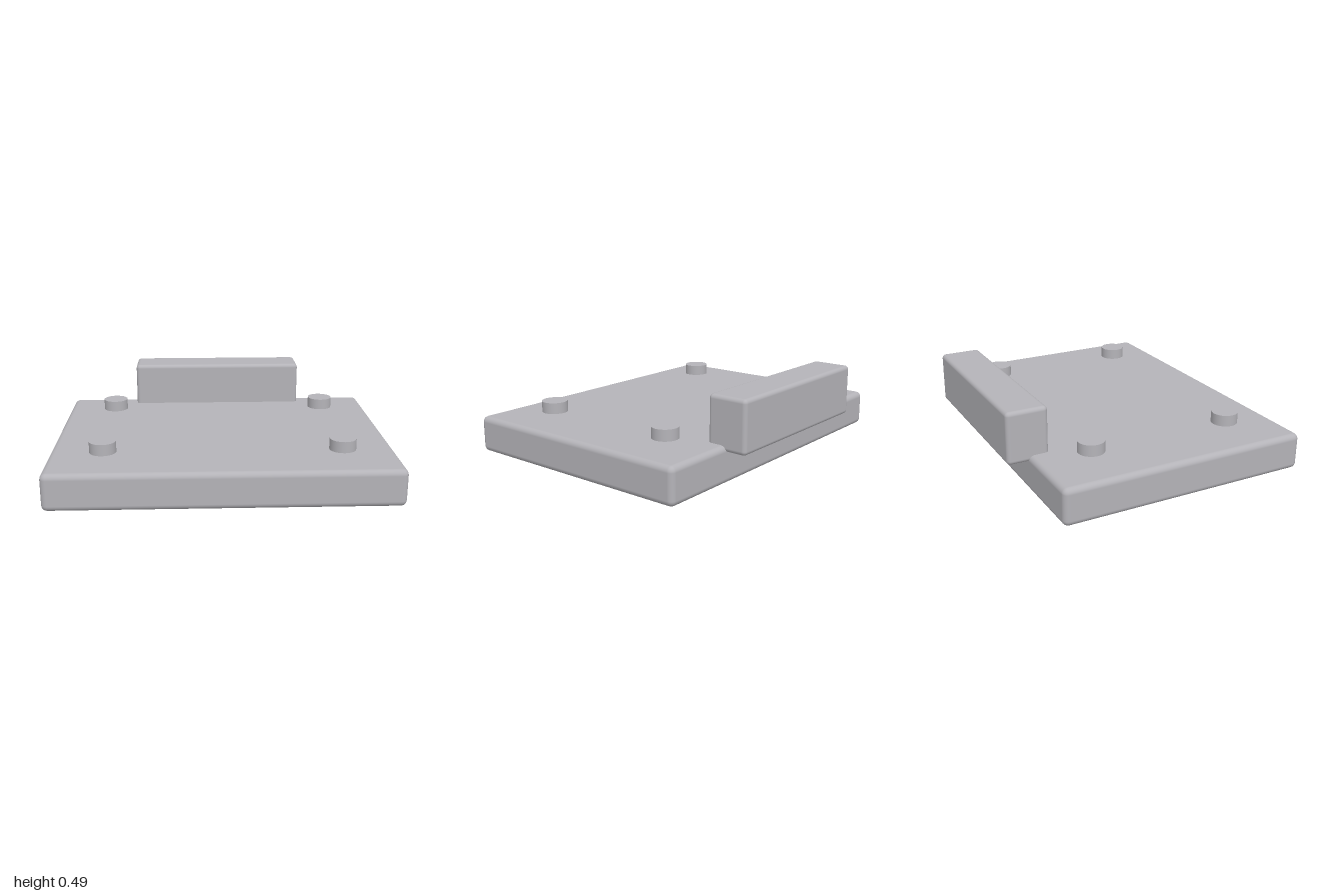
import * as THREE from 'three';
import { RoundedBoxGeometry } from 'three/addons/geometries/RoundedBoxGeometry.js';

export function createModel() {
  const model = new THREE.Group();
  model.name = 'plateWithBlock';

  const grey = new THREE.MeshStandardMaterial({ color: 0xb4b3b8 });
  grey.name = 'light grey';

  const add = (name, geometry, x, y, z) => {
    const mesh = new THREE.Mesh(geometry, grey);
    mesh.name = name;
    mesh.position.set(x, y, z);
    model.add(mesh);
  };

  // Softly rounded base slab
  add('basePlate', new RoundedBoxGeometry(2, 0.216, 1.495, 3, 0.034), 0, 0.108, 0.0605);

  // Raised block overhanging the rear edge
  add('rearBlock', new RoundedBoxGeometry(1.115, 0.305, 0.243, 3, 0.024), 0, 0.3325, -0.6885);

  // Four short pegs hovering just above the slab
  const peg = new THREE.CylinderGeometry(0.077, 0.077, 0.066, 32);
  for (const x of [-0.687, 0.687]) {
    for (const z of [-0.378, 0.498]) {
      const name = (z > 0 ? 'front' : 'rear') + (x > 0 ? 'Left' : 'Right') + 'Peg';
      add(name, peg, x, 0.269, z);
    }
  }

  return model;
}
